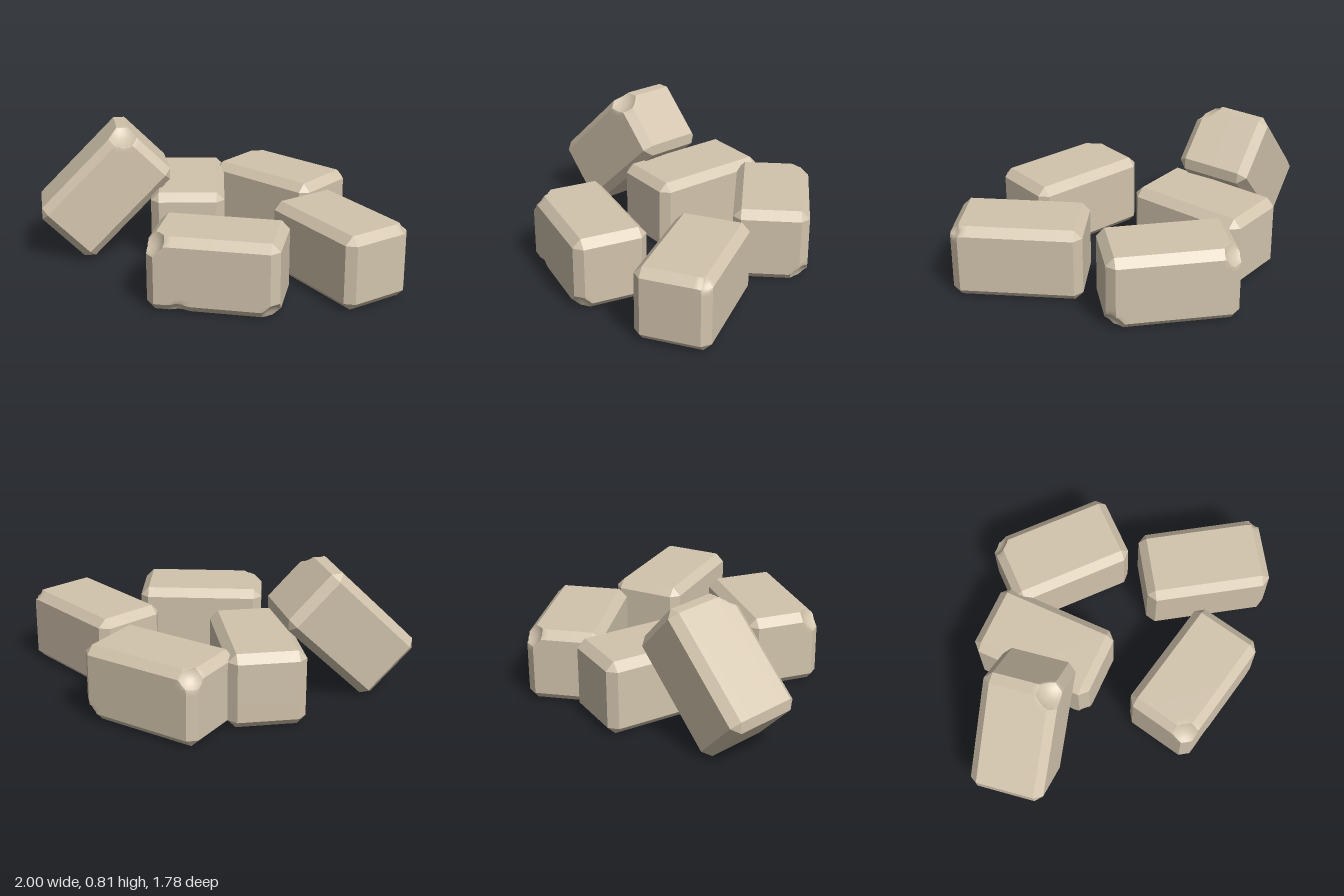
import * as THREE from 'three';
import { toCreasedNormals } from 'three/addons/utils/BufferGeometryUtils.js';

const SIZE = [0.755, 0.445, 0.445]; // length, height, depth
const HALF = SIZE.map((s) => s / 2);
const CHAMFER = 0.048;
const RIM = 4; // grid steps across each chamfer
const INNER = [26, 16, 16]; // grid steps across each flat face

// Grid coordinate on one axis, with extra lines across the chamfers
function remap(value, axis) {
  const n = INNER[axis] + 2 * RIM;
  const i = Math.round((value / SIZE[axis] + 0.5) * n);
  const h = HALF[axis];
  if (i <= RIM) return -h + (i / RIM) * CHAMFER;
  if (i >= n - RIM) return h - ((n - i) / RIM) * CHAMFER;
  return -(h - CHAMFER) + ((i - RIM) / INNER[axis]) * 2 * (h - CHAMFER);
}

// Chamfered block; each chip [x, y, z, radius] scoops a hollow, with x, y, z
// given as fractions of the half sizes (1 = on the face)
function brickGeometry(chips) {
  const geo = new THREE.BoxGeometry(...SIZE, ...INNER.map((n) => n + 2 * RIM));
  const pos = geo.attributes.position;
  const p = new THREE.Vector3();
  const scoops = chips.map(([x, y, z, r]) => ({
    centre: new THREE.Vector3(x * HALF[0], y * HALF[1], z * HALF[2]), r,
  }));
  for (let v = 0; v < pos.count; v++) {
    const c = [pos.getX(v), pos.getY(v), pos.getZ(v)].map(remap);
    // Pull the rims onto the flat chamfer and corner planes
    const excess = c.map((a, k) => Math.max(0, Math.abs(a) - (HALF[k] - CHAMFER)));
    const scale = CHAMFER / (excess[0] + excess[1] + excess[2]);
    p.fromArray(c.map((a, k) =>
      excess[k] > 0 ? Math.sign(a) * (HALF[k] - CHAMFER + excess[k] * scale) : a));
    // Press the chips in
    for (const { centre, r } of scoops) {
      const d = p.distanceTo(centre);
      if (d < r) p.sub(centre).multiplyScalar(r / d).add(centre);
    }
    pos.setXYZ(v, p.x, p.y, p.z);
  }
  geo.deleteAttribute('uv');
  return toCreasedNormals(geo, 0.5);
}

export function createModel() {
  const group = new THREE.Group();
  const material = new THREE.MeshStandardMaterial({ color: 0xd2c4ad });

  function addBrick(name, x, y, z, chips) {
    const mesh = new THREE.Mesh(brickGeometry(chips), material);
    mesh.name = name;
    mesh.position.set(x, y, z);
    group.add(mesh);
    return mesh;
  }

  // Bricks lying flat: name, x, z, turn in degrees, chips
  const flat = [
    ['backBrick', -0.235, -0.605, 13, [
      [-1.06, 1.1, -1.1, 0.14], [-0.2, 1.12, -1.12, 0.065], [1.06, -1.1, -1.1, 0.14]]],
    ['rightBrick', 0.615, -0.37, -2.3, [[1.05, 1.08, -1.08, 0.1]]],
    ['frontBrick', 0.4, 0.335, 43, [
      [-1.06, 1.1, 1.1, 0.15], [-0.5, -1.15, 1.15, 0.1],
      [1.05, -1.1, 1.1, 0.13], [-1.07, 0.3, 1.12, 0.06]]],
    ['middleBrick', -0.437, -0.035, -35.5, [[1.05, -1.08, 1.08, 0.115]]],
  ];
  for (const [name, x, z, turn, chips] of flat) {
    addBrick(name, x, HALF[1], z, chips).rotation.y = THREE.MathUtils.degToRad(turn);
  }

  // Brick leaning on the middle one, its length pointing up and back
  const leaning = addBrick('leaningBrick', -0.645, 0.415, 0.455, [[1.06, 1.1, 1.1, 0.16]]);
  const along = new THREE.Vector3(0.29, 0.7, -0.655).normalize();
  const face = new THREE.Vector3(-0.354, 0.713, 0.606);
  const side = new THREE.Vector3().crossVectors(face, along).normalize(); // toward -x
  face.crossVectors(along, side).normalize();
  // Block axes: x along the length, y out of the sloping face, z to the side
  leaning.quaternion.setFromRotationMatrix(
    new THREE.Matrix4().makeBasis(along, face, side.crossVectors(along, face)));

  return group;
}
